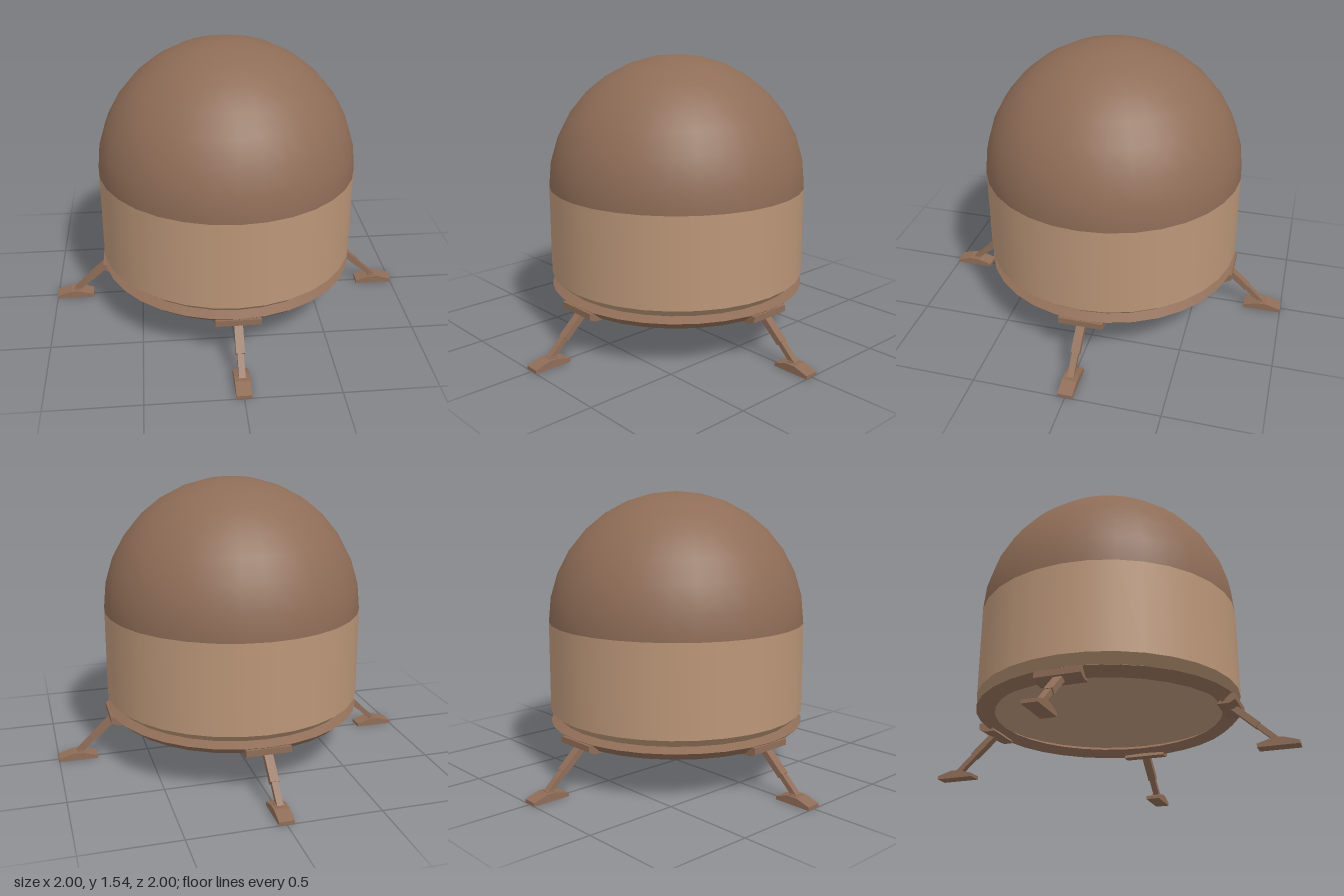
import * as THREE from 'three';

// Sharp-edged lathe: one smooth band per pair of profile points
function bands(group, name, points, material) {
  for (let i = 0; i < points.length - 1; i++) {
    const pair = [points[i], points[i + 1]].map(p => new THREE.Vector2(p[0], p[1]));
    const mesh = new THREE.Mesh(new THREE.LatheGeometry(pair, 32), material);
    mesh.name = name;
    group.add(mesh);
  }
}

// Side profile (radial distance, height) extruded to a centred width
function slab(name, points, width, material) {
  const shape = new THREE.Shape(points.map(p => new THREE.Vector2(p[0], p[1])));
  const geo = new THREE.ExtrudeGeometry(shape, { depth: width, bevelEnabled: false });
  geo.translate(0, 0, -width / 2);
  const mesh = new THREE.Mesh(geo, material);
  mesh.name = name;
  return mesh;
}

// Square bar between two points of the leg's plane
function bar(name, a, b, thick, width, material) {
  const dx = b[0] - a[0], dy = b[1] - a[1];
  const mesh = new THREE.Mesh(new THREE.BoxGeometry(Math.hypot(dx, dy), thick, width), material);
  mesh.position.set((a[0] + b[0]) / 2, (a[1] + b[1]) / 2, 0);
  mesh.rotation.z = Math.atan2(dy, dx);
  mesh.name = name;
  return mesh;
}

export function createModel() {
  const model = new THREE.Group();
  model.name = 'domedPod';
  const brown = new THREE.MeshStandardMaterial({ color: 0x8f6d57 });
  brown.name = 'brown';
  const tan = new THREE.MeshStandardMaterial({ color: 0xbb9678 });
  tan.name = 'tan';

  // Dome
  const dome = new THREE.Mesh(
    new THREE.SphereGeometry(0.71, 32, 8, 0, Math.PI * 2, 0, Math.PI / 2), brown);
  dome.position.y = 0.83;
  dome.name = 'dome';
  model.add(dome);

  // Drum wall, its tapered lower edge and the floor
  const drum = new THREE.Group();
  drum.name = 'drum';
  bands(drum, 'drumWall', [[0, 0.29], [0.655, 0.29], [0.71, 0.34], [0.71, 0.83]], tan);
  model.add(drum);

  // Faceted base ring
  const ring = new THREE.Group();
  ring.name = 'baseRing';
  bands(ring, 'ringFace',
    [[0.61, 0.265], [0.66, 0.228], [0.71, 0.272], [0.66, 0.295], [0.61, 0.265]], brown);
  model.add(ring);

  // Four legs: bracket, stepped strut and foot
  for (let i = 0; i < 4; i++) {
    const leg = new THREE.Group();
    leg.name = 'leg' + (i + 1);
    leg.add(slab('bracket',
      [[0.62, 0.218], [0.68, 0.218], [0.715, 0.235], [0.715, 0.268], [0.66, 0.268]], 0.24, brown));
    leg.add(bar('upperStrut', [0.67, 0.24], [0.8, 0.121], 0.034, 0.046, brown));
    leg.add(bar('lowerStrut', [0.8, 0.121], [0.89, 0.037], 0.028, 0.034, brown));
    leg.add(slab('ankle', [[0.865, 0.03], [0.905, 0.03], [0.905, 0.044], [0.865, 0.05]], 0.048, brown));
    leg.add(slab('foot',
      [[0.79, 0], [1, 0], [1, 0.018], [0.92, 0.042], [0.87, 0.042], [0.79, 0.018]], 0.08, brown));
    leg.rotation.y = i * Math.PI / 2;
    model.add(leg);
  }
  return model;
}
